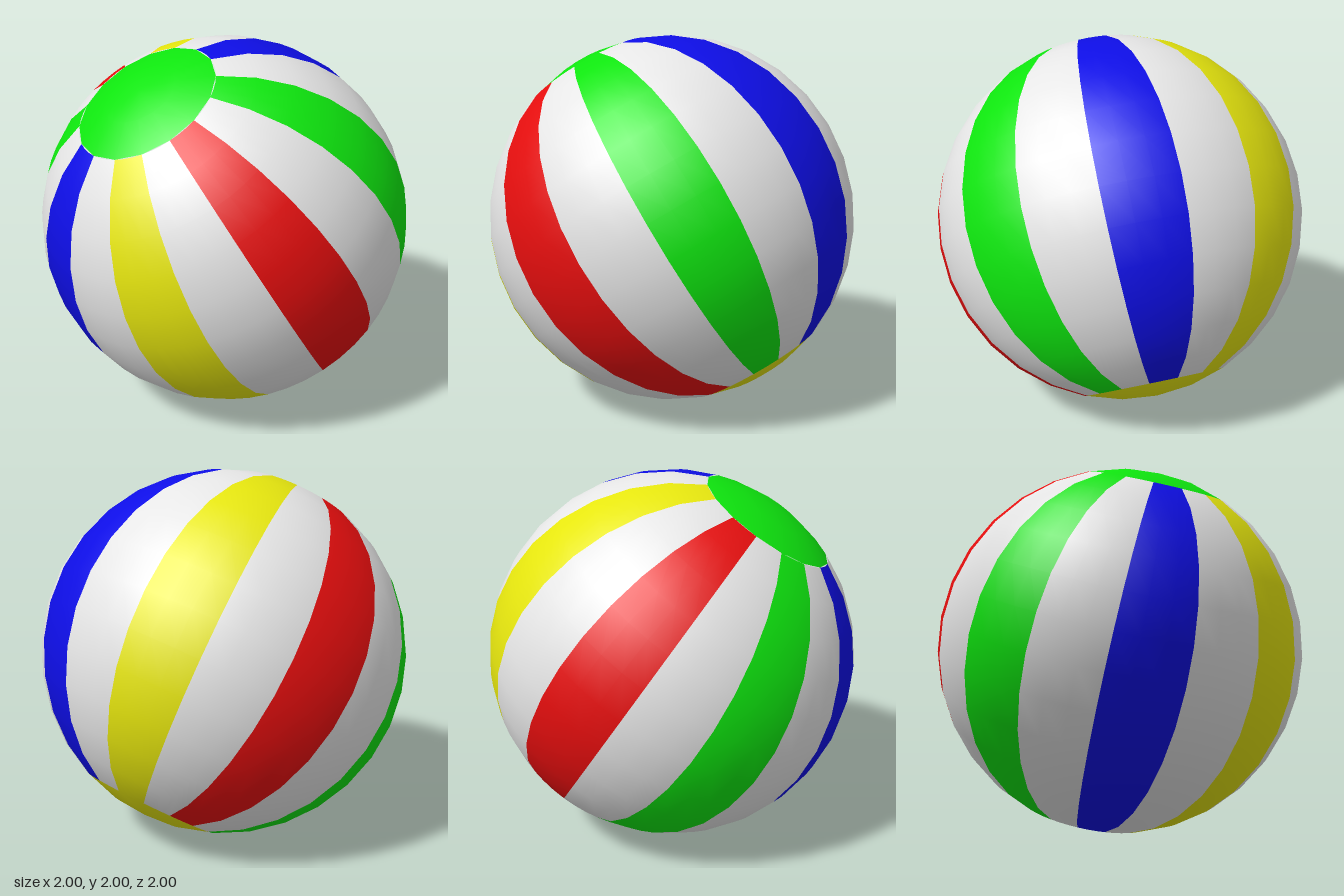
import * as THREE from 'three';

const SIDES = 16;
const STEP = (Math.PI * 2) / SIDES; // width of one stripe
const CAP = Math.PI / 8;            // polar angle covered by each end cap

const paint = (name, color) => new THREE.MeshStandardMaterial({ name, color });

export function createModel() {
  const white = paint('white', 0xe6e6e6);
  const red = paint('red', 0xe60e0e);
  const green = paint('green', 0x0ee60e);
  const blue = paint('blue', 0x0e0ee6);
  const yellow = paint('yellow', 0xe6e60e);

  const ball = new THREE.Group();
  ball.name = 'beachBall';
  const add = (name, geometry, material) => {
    const mesh = new THREE.Mesh(geometry, material);
    mesh.name = name;
    ball.add(mesh);
  };

  // Stripes from cap to cap, counted from the front towards the left side
  const colours = [yellow, red, green, blue];
  for (let i = 0; i < SIDES; i++) {
    const material = i % 2 ? colours[((i - 1) / 2) % 4] : white;
    add(`${material.name}Stripe${i + 1}`,
      new THREE.SphereGeometry(1, 1, 12, Math.PI / 2 + i * STEP, STEP, CAP, Math.PI - 2 * CAP),
      material);
  }

  // End caps
  add('topCap', new THREE.SphereGeometry(1, SIDES, 2, 0, Math.PI * 2, 0, CAP), green);
  add('bottomCap', new THREE.SphereGeometry(1, SIDES, 2, 0, Math.PI * 2, Math.PI - CAP, CAP), yellow);

  // Lean the ball forward, with a very slight roll
  ball.rotation.set(0.589, 0, -0.012);
  ball.position.y = 1;

  const model = new THREE.Group();
  model.name = 'model';
  model.add(ball);
  return model;
}
